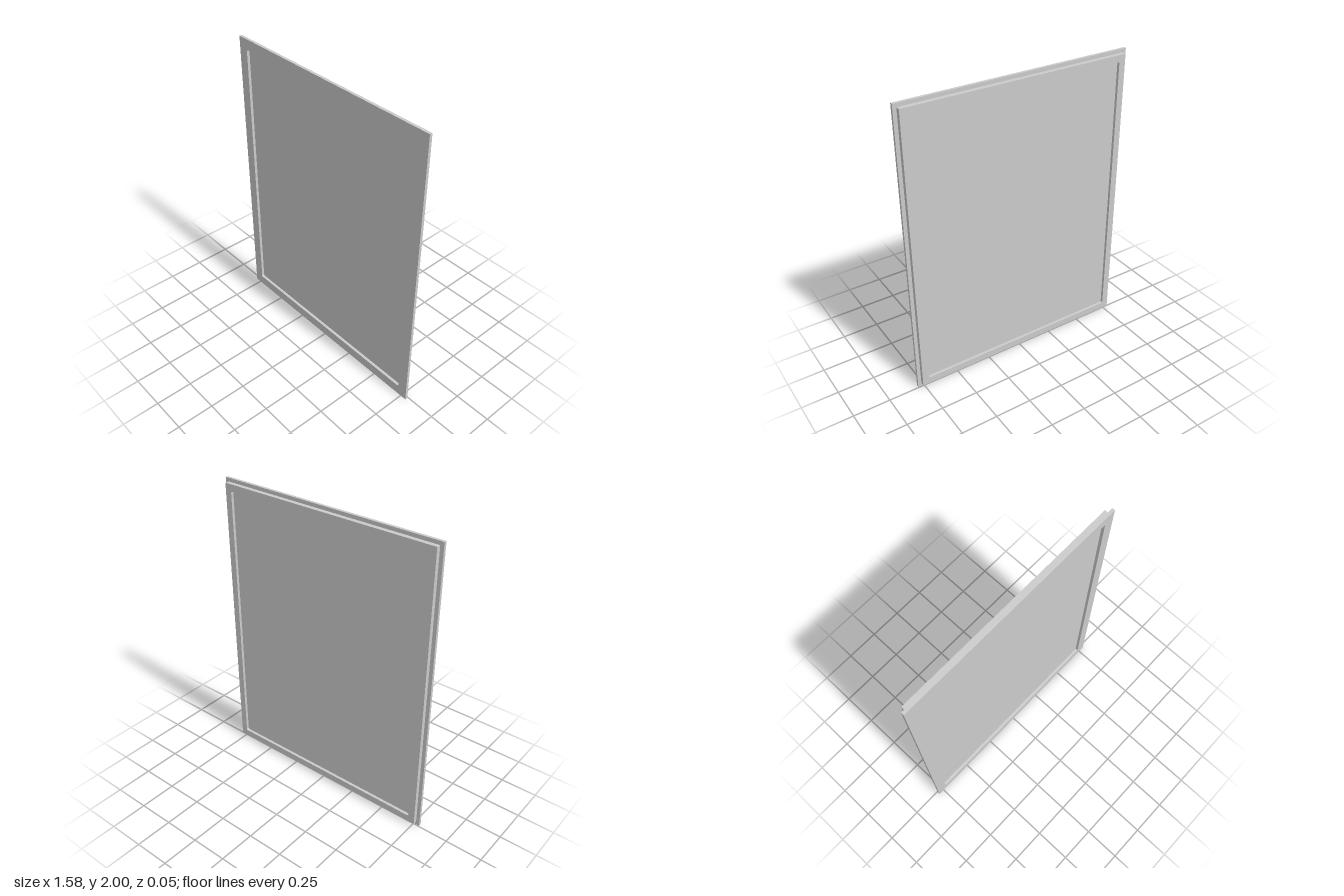
import * as THREE from 'three';

const material = new THREE.MeshStandardMaterial({ color: 0xcccccc, flatShading: true });
const OPEN_W = 1.446, OPEN_H = 1.86, CENTRE_Y = 1;

// Rectangle path centred on the origin, with optional rounded corners
function rectangle(path, w, h, r = 0) {
  const x = w / 2, y = h / 2;
  path.moveTo(-x + r, -y);
  path.lineTo(x - r, -y);
  if (r) path.absarc(x - r, -y + r, r, -Math.PI / 2, 0);
  path.lineTo(x, y - r);
  if (r) path.absarc(x - r, y - r, r, 0, Math.PI / 2);
  path.lineTo(-x + r, y);
  if (r) path.absarc(-x + r, y - r, r, Math.PI / 2, Math.PI);
  path.lineTo(-x, -y + r);
  if (r) path.absarc(-x + r, -y + r, r, Math.PI, Math.PI * 1.5);
  path.closePath();
  return path;
}

// Flat rectangular ring around the shared opening, from zBack to zFront
function ring(name, w, h, zBack, zFront) {
  const shape = rectangle(new THREE.Shape(), w, h);
  shape.holes.push(rectangle(new THREE.Path(), OPEN_W, OPEN_H, 0.01));
  const geometry = new THREE.ExtrudeGeometry(shape, {
    depth: zFront - zBack, bevelEnabled: false, curveSegments: 4,
  });
  const mesh = new THREE.Mesh(geometry, material);
  mesh.name = name;
  mesh.position.set(0, CENTRE_Y, zBack);
  return mesh;
}

export function createModel() {
  const model = new THREE.Group();
  model.name = 'framedPanel';

  // Wide front flange and the smaller frame stepped in behind it
  model.add(ring('frontFlange', 1.584, 2, 0.005, 0.024));
  model.add(ring('rearFrame', 1.536, 1.952, -0.024, 0.005));

  // Thin pane recessed on both sides
  const pane = new THREE.Mesh(new THREE.BoxGeometry(OPEN_W + 0.01, OPEN_H + 0.01, 0.01), material);
  pane.name = 'pane';
  pane.position.set(0, CENTRE_Y, 0);
  model.add(pane);

  return model;
}
